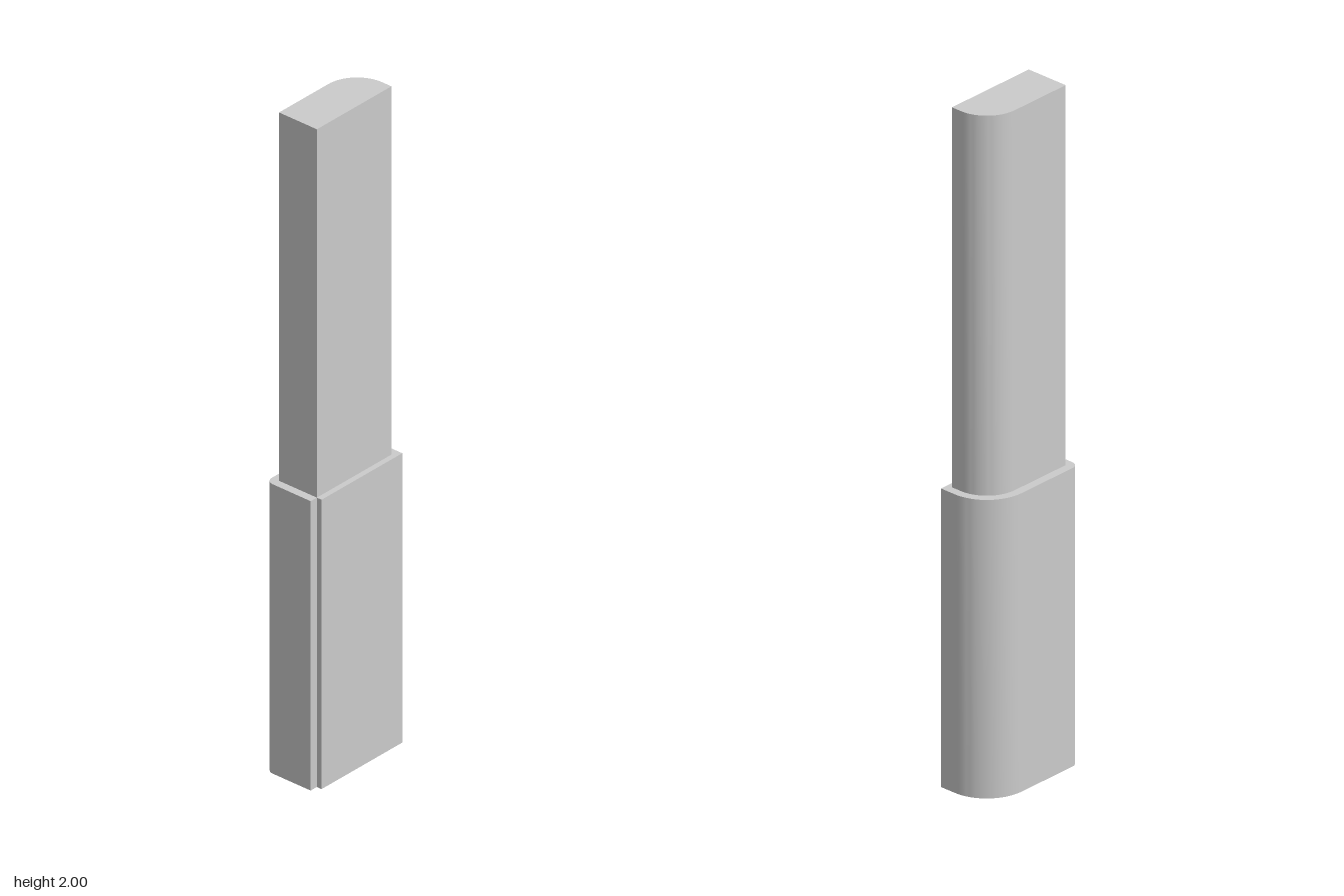
import * as THREE from 'three';
import { toCreasedNormals } from 'three/addons/utils/BufferGeometryUtils.js';

const material = new THREE.MeshStandardMaterial({ color: 0xcccccc });

// Extrude a plan outline (shape y = -z) upwards from y0 to y1
function prism(name, shape, y0, y1) {
  const extruded = new THREE.ExtrudeGeometry(shape, {
    depth: y1 - y0, bevelEnabled: false, curveSegments: 8,
  });
  extruded.rotateX(-Math.PI / 2).translate(0, y0, 0);
  const mesh = new THREE.Mesh(toCreasedNormals(extruded, 0.6), material);
  mesh.name = name;
  return mesh;
}

export function createModel() {
  const group = new THREE.Group();
  group.name = 'sleevedPost';

  const core = { left: -0.062, right: 0.07, end: 0.148, radius: 0.1 };
  const wall = 0.0245;
  const sleeveTop = 0.88;

  // Core: rectangle with one large rounded back corner
  const { left, right, end, radius } = core;
  const coreShape = new THREE.Shape();
  coreShape.moveTo(left, -end);
  coreShape.lineTo(right, -end);
  coreShape.lineTo(right, end);
  coreShape.lineTo(left + radius, end);
  coreShape.absarc(left + radius, end - radius, radius, Math.PI / 2, Math.PI, false);
  coreShape.closePath();
  group.add(prism('core', coreShape, sleeveTop, 2));

  // Sleeve: offset outline, with a notch at the front left corner down to the core
  const outLeft = left - wall, outRight = 0.0865, outEnd = end + wall;
  const outRadius = radius + wall;
  const sleeveShape = new THREE.Shape();
  sleeveShape.moveTo(left, -outEnd);
  sleeveShape.lineTo(right, -outEnd);
  sleeveShape.lineTo(right, -end);
  sleeveShape.lineTo(outRight, -end);
  sleeveShape.lineTo(outRight, outEnd);
  sleeveShape.lineTo(left + radius, outEnd);
  sleeveShape.absarc(left + radius, end - radius, outRadius, Math.PI / 2, Math.PI, false);
  sleeveShape.lineTo(outLeft, -end);
  sleeveShape.absarc(left, -end, wall, Math.PI, Math.PI * 1.5, false);
  group.add(prism('sleeve', sleeveShape, 0, sleeveTop));

  return group;
}
